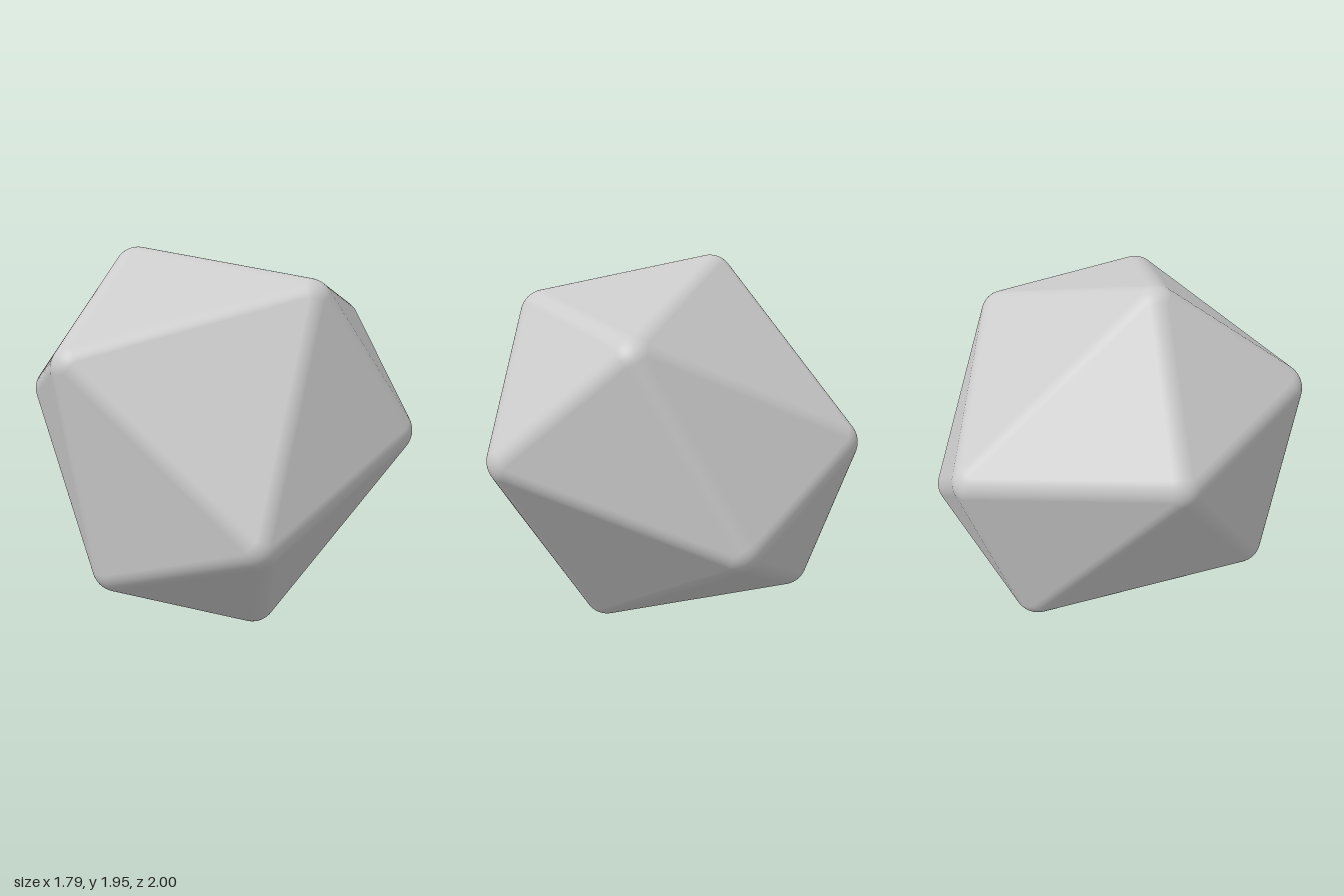
import * as THREE from 'three';

const RADIUS = 0.13; // rounding of edges and corners
const STEPS = 8;

// Centres of the twelve rounded corners
const CORNERS = [
  [-0.34, 1.825, -0.14], [0.3, 1.68, 0.57], [-0.77, 1.39, 0.32], [0.76, 1.54, -0.02],
  [0.755, 1.04, 0.58], [0.7, 0.69, -0.5], [-0.08, 0.62, 0.87], [0.13, 0.13, 0.33],
  [-0.6, 0.4, 0.35], [0.02, 0.36, -0.63], [0.15, 1.07, -0.87], [-0.72, 1.18, -0.46],
].map((p) => new THREE.Vector3(...p));

const blend = (a, b, t) => a.clone().lerp(b, t).normalize();

// Every triple of corners with all the others behind it is a face
function findFaces(points) {
  const faces = [];
  const n = points.length;
  for (let i = 0; i < n; i++) for (let j = i + 1; j < n; j++) for (let k = j + 1; k < n; k++) {
    const normal = points[j].clone().sub(points[i])
      .cross(points[k].clone().sub(points[i])).normalize();
    const sides = points.filter((p, m) => m !== i && m !== j && m !== k)
      .map((p) => p.clone().sub(points[i]).dot(normal));
    if (sides.every((s) => s < 0)) faces.push({ ids: [i, j, k], normal });
    else if (sides.every((s) => s > 0)) faces.push({ ids: [i, j, k], normal: normal.negate() });
  }
  return faces;
}

function roundedHull(points, radius) {
  const positions = [];
  const normals = [];

  // Each corner is a [centre, direction] pair; winding follows the directions
  function triangle(...corners) {
    const [a, b, c] = corners.map(([p, d]) => p.clone().addScaledVector(d, radius));
    const facing = b.clone().sub(a).cross(c.clone().sub(a));
    const outward = corners[0][1].clone().add(corners[1][1]).add(corners[2][1]);
    const order = facing.dot(outward) < 0 ? [0, 2, 1] : [0, 1, 2];
    for (const i of order) {
      positions.push(...[a, b, c][i].toArray());
      normals.push(...corners[i][1].toArray());
    }
  }
  function quad(a, b, c, d) {
    triangle(a, b, c);
    triangle(a, c, d);
  }

  const faces = findFaces(points);

  // Mean direction at each corner, the pole of its rounded cap
  const poles = points.map((p, i) => faces.filter((f) => f.ids.includes(i))
    .reduce((sum, f) => sum.add(f.normal), new THREE.Vector3()).normalize());

  // Flat faces
  for (const { ids, normal } of faces) triangle(...ids.map((i) => [points[i], normal]));

  // Rounded edges, with the sector of the corner cap at both ends
  faces.forEach((f, fi) => faces.slice(fi + 1).forEach((g) => {
    const shared = f.ids.filter((i) => g.ids.includes(i));
    if (shared.length !== 2) return;
    const [p, q] = shared.map((i) => points[i]);
    for (let m = 0; m < STEPS; m++) {
      const d0 = blend(f.normal, g.normal, m / STEPS);
      const d1 = blend(f.normal, g.normal, (m + 1) / STEPS);
      quad([p, d0], [q, d0], [q, d1], [p, d1]);
      for (const i of shared) {
        const at = (d, k) => [points[i], blend(poles[i], d, k / STEPS)];
        triangle([points[i], poles[i]], at(d0, 1), at(d1, 1));
        for (let k = 1; k < STEPS; k++) quad(at(d0, k), at(d0, k + 1), at(d1, k + 1), at(d1, k));
      }
    }
  }));

  const geometry = new THREE.BufferGeometry();
  geometry.setAttribute('position', new THREE.Float32BufferAttribute(positions, 3));
  geometry.setAttribute('normal', new THREE.Float32BufferAttribute(normals, 3));
  return geometry;
}

export function createModel() {
  const group = new THREE.Group();
  group.name = 'roundedStone';
  const stone = new THREE.Mesh(
    roundedHull(CORNERS, RADIUS),
    new THREE.MeshStandardMaterial({ color: 0xcccccc }),
  );
  stone.name = 'stone';
  group.add(stone);
  return group;
}
